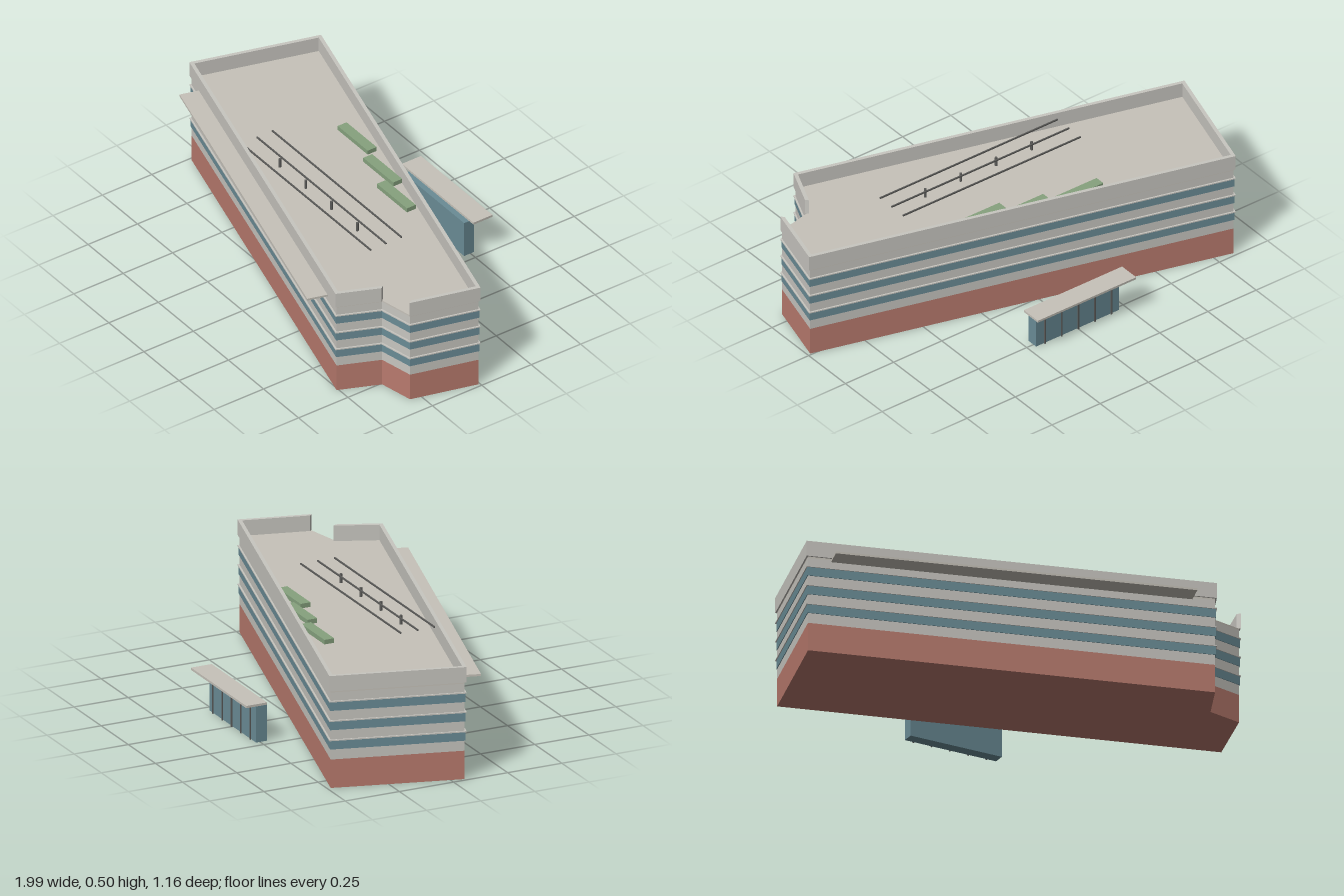
import * as THREE from 'three';

const mat = (name, color) => {
  const m = new THREE.MeshStandardMaterial({ color });
  m.name = name;
  return m;
};

// Outer plan of the building as [x, z], starting at the back corner
const PLAN = [[-0.84, -0.493], [0.995, 0.003], [0.915, 0.305], [0.762, 0.338], [0.685, 0.517], [-0.997, 0.062]];

// Moves every side of the plan inward by d
function inset(d) {
  const n = PLAN.length;
  const normal = (i) => {
    const [a, b] = [PLAN[i % n], PLAN[(i + 1) % n]];
    const dx = b[0] - a[0], dz = b[1] - a[1], l = Math.hypot(dx, dz);
    return [-dz / l, dx / l];
  };
  return PLAN.map((p, i) => {
    const a = normal(i + n - 1), b = normal(i);
    const k = d / (1 + a[0] * b[0] + a[1] * b[1]);
    return [p[0] + k * (a[0] + b[0]), p[1] + k * (a[1] + b[1])];
  });
}

// Upright prism over a plan, from y0 to y1
function prism(points, y0, y1) {
  const shape = new THREE.Shape(points.map(([x, z]) => new THREE.Vector2(x, -z)));
  const g = new THREE.ExtrudeGeometry(shape, { depth: y1 - y0, bevelEnabled: false });
  return g.rotateX(-Math.PI / 2).translate(0, y0, 0);
}

// Box given by its limits
function block(x0, x1, y0, y1, z0, z1) {
  return new THREE.BoxGeometry(x1 - x0, y1 - y0, z1 - z0)
    .translate((x0 + x1) / 2, (y0 + y1) / 2, (z0 + z1) / 2);
}

export function createModel() {
  const concrete = mat('concrete', 0xc8c6c0);
  const brick = mat('brick', 0xb97b6e);
  const glass = mat('glass', 0x6a8c96);
  const roofGrey = mat('roof', 0xc6c2b9);
  const green = mat('planting', 0x86a27e);
  const metal = mat('darkMetal', 0x5c5c5a);

  const model = new THREE.Group();
  model.name = 'officeBuilding';
  const add = (name, geometry, material) => {
    const m = new THREE.Mesh(geometry, material);
    m.name = name;
    model.add(m);
    return m;
  };

  // Brick base and the banded storeys above it
  const wall = inset(0.007), pane = inset(0.004);
  add('brickBase', prism(wall, 0, 0.125), brick);
  let bottom = 0.125;
  for (const sill of [0.17, 0.255, 0.34]) {
    add('wallBand', prism(wall, bottom, sill), concrete);
    add('windowBand', prism(pane, sill, sill + 0.038), glass);
    add('ledge', prism(PLAN, sill + 0.038, sill + 0.043), concrete);
    bottom = sill + 0.043;
  }
  add('topWallBand', prism(wall, bottom, 0.42), concrete);
  add('roofDeck', prism(wall, 0.42, 0.427), roofGrey);

  // Parapet, open along the short side of the corner notch
  const inner = inset(0.016);
  const order = [3, 4, 5, 0, 1, 2];
  const ring = [...order.map((i) => PLAN[i]), ...order.slice().reverse().map((i) => inner[i])];
  add('parapet', prism(ring, 0.427, 0.495), concrete);

  // Long sunshade along the front wall
  add('frontCanopy', prism([[-0.918, 0.168], [0.562, 0.573], [0.587, 0.485], [-0.893, 0.08]], 0.412, 0.421), roofGrey);

  // Roof planters
  for (const [x, z] of [[-0.33, -0.26], [-0.086, -0.216], [0.096, -0.156]]) {
    add('planter', block(x, x + 0.214, 0.427, 0.447, z, z + 0.045), green);
  }

  // Roof rails and posts
  for (const z of [0.038, 0.116, 0.194]) {
    add('roofRail', block(-0.44, 0.482, 0.461, 0.467, z - 0.003, z + 0.003), metal);
  }
  for (let i = 0; i < 4; i++) {
    const post = new THREE.CylinderGeometry(0.006, 0.006, 0.04, 12).translate(-0.256 + i * 0.184, 0.447, 0.13);
    add('roofPost', post, metal);
  }

  // Glazed entrance at the back with its canopy and mullions
  add('entranceGlass', block(-0.215, 0.215, 0, 0.167, -0.518, -0.468), glass);
  add('entranceCanopy', block(-0.255, 0.255, 0.175, 0.185, -0.583, -0.487), roofGrey);
  for (let i = -2; i <= 2; i++) {
    add('entranceMullion', block(i * 0.086 - 0.003, i * 0.086 + 0.003, 0, 0.167, -0.526, -0.521), metal);
  }

  return model;
}
